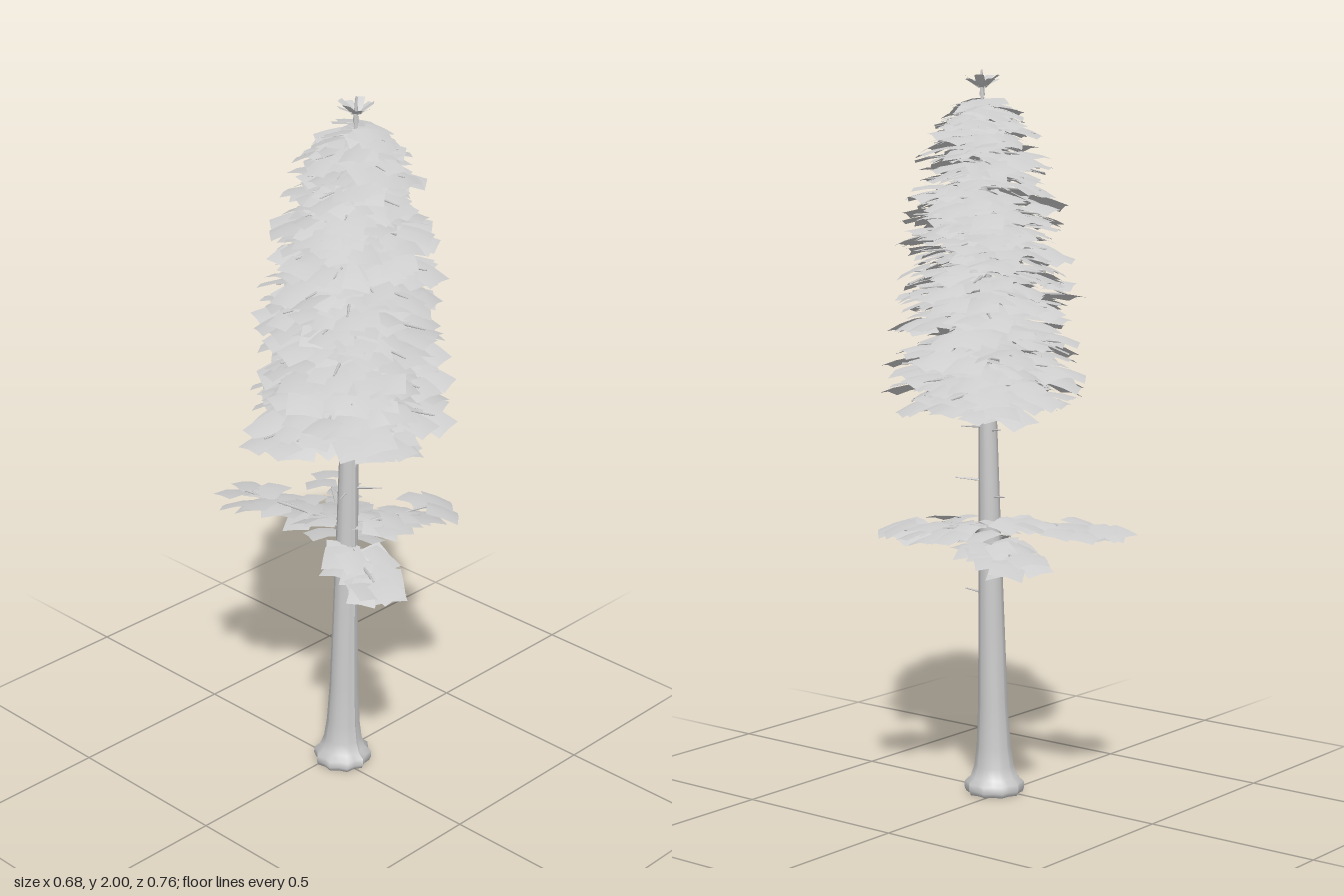
import * as THREE from 'three';
import { mergeGeometries } from 'three/addons/utils/BufferGeometryUtils.js';

const grey = new THREE.MeshStandardMaterial({ color: 0xcccccc, side: THREE.DoubleSide });
grey.name = 'pale grey';

// Seeded random numbers
let seed = 7;
const rand = (a = 0, b = 1) => {
  seed = (seed * 16807) % 2147483647;
  return a + (b - a) * (seed / 2147483647);
};

// Linear lookup in a list of [key, value] points
const lookup = (points, k) => {
  for (let i = 1; i < points.length; i++) {
    const [k0, v0] = points[i - 1], [k1, v1] = points[i];
    if (k <= k1) return v0 + (v1 - v0) * Math.max(0, (k - k0) / (k1 - k0));
  }
  return points[points.length - 1][1];
};

// The trunk leans slightly
const axis = (y) => new THREE.Vector3(0.017 + 0.007 * y, y, 0.027 + 0.016 * y);
const crownRadius = [[1.08, 0.28], [1.15, 0.285], [1.3, 0.265], [1.5, 0.235], [1.65, 0.225], [1.75, 0.19], [1.85, 0.16], [1.92, 0.10]];

// One curved, nearly flat needle spray; local +z points outward
function spray(position, yaw, pitch, roll, width, length) {
  const g = new THREE.PlaneGeometry(width, length, 2, 2).rotateX(-Math.PI / 2);
  const p = g.attributes.position;
  for (let i = 0; i < p.count; i++) {
    const x = p.getX(i), z = p.getZ(i);
    p.setY(i, -3.2 * x * x - 1.5 * z * z);
  }
  const q = new THREE.Quaternion().setFromEuler(new THREE.Euler(pitch, yaw, roll, 'YXZ'));
  g.applyMatrix4(new THREE.Matrix4().compose(position, q, new THREE.Vector3(1, 1, 1)));
  g.computeVertexNormals();
  return g;
}

// Tapered stick between two points
function stick(from, to, r) {
  const d = to.clone().sub(from);
  const g = new THREE.CylinderGeometry(r * 0.3, r, d.length(), 5);
  const q = new THREE.Quaternion().setFromUnitVectors(new THREE.Vector3(0, 1, 0), d.clone().normalize());
  return g.applyMatrix4(new THREE.Matrix4().compose(
    from.clone().add(to).multiplyScalar(0.5), q, new THREE.Vector3(1, 1, 1)));
}

// A branch with sprays spread along it
function bough(leaves, wood, y, angle, reach, { start, count, size, spread, rise }) {
  const base = axis(y);
  const out = new THREE.Vector3(Math.sin(angle), 0, Math.cos(angle));
  const side = new THREE.Vector3(out.z, 0, -out.x);
  const at = (r) => base.clone().addScaledVector(out, r).setY(y + rise * r / reach);
  wood.push(stick(base, at(reach * 0.85), Math.min(0.008, reach * 0.03)));
  const last = reach - size * 0.45;
  for (let i = 0; i < count; i++) {
    const t = i / (count - 1);
    const r = start + (last - start) * t;
    const lateral = (i % 2 ? 1 : -1) * rand(0.2, 1) * spread * (t > 0.95 ? 0.2 : 1);
    const pos = at(r).addScaledVector(side, lateral);
    pos.y += rand(-0.018, 0.018);
    leaves.push(spray(pos, angle + lateral * 5 + rand(-0.5, 0.5), rand(0.08, 0.42),
      rand(-0.25, 0.25), size * rand(0.75, 1.1), size * rand(0.85, 1.15)));
  }
}

function makeTrunk() {
  const profile = [[0, 0], [0.074, 0], [0.079, 0.012], [0.078, 0.03], [0.062, 0.045], [0.052, 0.075], [0.045, 0.13],
    [0.039, 0.25], [0.034, 0.5], [0.029, 0.75], [0.024, 1.05], [0.017, 1.4], [0.011, 1.7], [0.003, 1.97], [0, 1.98]];
  const g = new THREE.LatheGeometry(profile.map(([r, y]) => new THREE.Vector2(r, y)), 20);
  const p = g.attributes.position;
  // Fluted bark, then lean
  for (let i = 0; i < p.count; i++) {
    const y = p.getY(i), a = Math.atan2(p.getX(i), p.getZ(i));
    const flute = 1 + 0.06 * Math.cos(10 * a);
    const c = axis(y);
    p.setXYZ(i, p.getX(i) * flute + c.x, y, p.getZ(i) * flute + c.z);
  }
  g.computeVertexNormals();
  return g;
}

export function createModel() {
  const model = new THREE.Group();
  const add = (name, geometry) => {
    const mesh = new THREE.Mesh(geometry, grey);
    mesh.name = name;
    model.add(mesh);
  };
  add('trunk', makeTrunk());

  // Crown: boughs spiralling up the trunk
  const leaves = [], wood = [];
  const total = 112;
  for (let i = 0; i < total; i++) {
    const t = i / (total - 1);
    const y = 1.095 + 0.82 * t;
    const reach = lookup(crownRadius, y) * rand(0.84, 1.06);
    const size = 0.068 + reach * 0.09;
    bough(leaves, wood, y, i * 2.39996, reach,
      { start: reach * 0.28, count: reach > 0.2 ? 8 : 6, size, spread: reach * 0.27, rise: -0.01 });
  }
  // Two long boughs at the bottom of the crown
  for (const [y, angle, reach] of [[1.125, -1.63, 0.36], [1.1, -0.3, 0.32]])
    bough(leaves, wood, y, angle, reach, { start: 0.1, count: 9, size: 0.09, spread: 0.05, rise: 0 });
  add('crownFoliage', mergeGeometries(leaves));
  add('crownBranches', mergeGeometries(wood));

  // Four separate low boughs: height, tip x, tip z
  const lowLeaves = [], lowWood = [];
  for (const [y, x, z] of [[0.765, -0.06, -0.37], [0.705, 0.29, -0.3], [0.705, -0.16, 0.36], [0.755, 0.33, 0.15]]) {
    const c = axis(y);
    const dx = x - c.x, dz = z - c.z;
    bough(lowLeaves, lowWood, y, Math.atan2(dx, dz), Math.hypot(dx, dz),
      { start: 0.05, count: 18, size: 0.088, spread: 0.062, rise: 0.015 });
  }
  add('lowFoliage', mergeGeometries(lowLeaves));
  add('lowBranches', mergeGeometries(lowWood));

  // Upright tuft at the tip
  const tuft = [];
  for (let i = 0; i < 9; i++) {
    const a = i * Math.PI * 2 / 9;
    const pos = axis(1.965).add(new THREE.Vector3(Math.sin(a) * 0.025, i % 2 * 0.006, Math.cos(a) * 0.025));
    tuft.push(spray(pos, a, i % 2 ? -0.65 : -0.45, 0, 0.026, 0.052));
  }
  tuft.push(stick(axis(1.93), axis(2), 0.008));
  add('tipTuft', mergeGeometries(tuft));

  // Dead twigs on the bare trunk: height, dx, dz
  const twigs = [[1.03, 0.08, 0.03], [1.035, -0.06, 0.05], [0.87, -0.06, 0.03], [0.88, 0.05, 0.08],
    [0.835, 0.02, -0.07], [0.56, 0, 0.09], [1.02, 0.02, -0.06]];
  add('deadTwigs', mergeGeometries(twigs.map(([y, dx, dz]) =>
    stick(axis(y), axis(y).add(new THREE.Vector3(dx, 0.008, dz)), 0.005))));
  return model;
}
